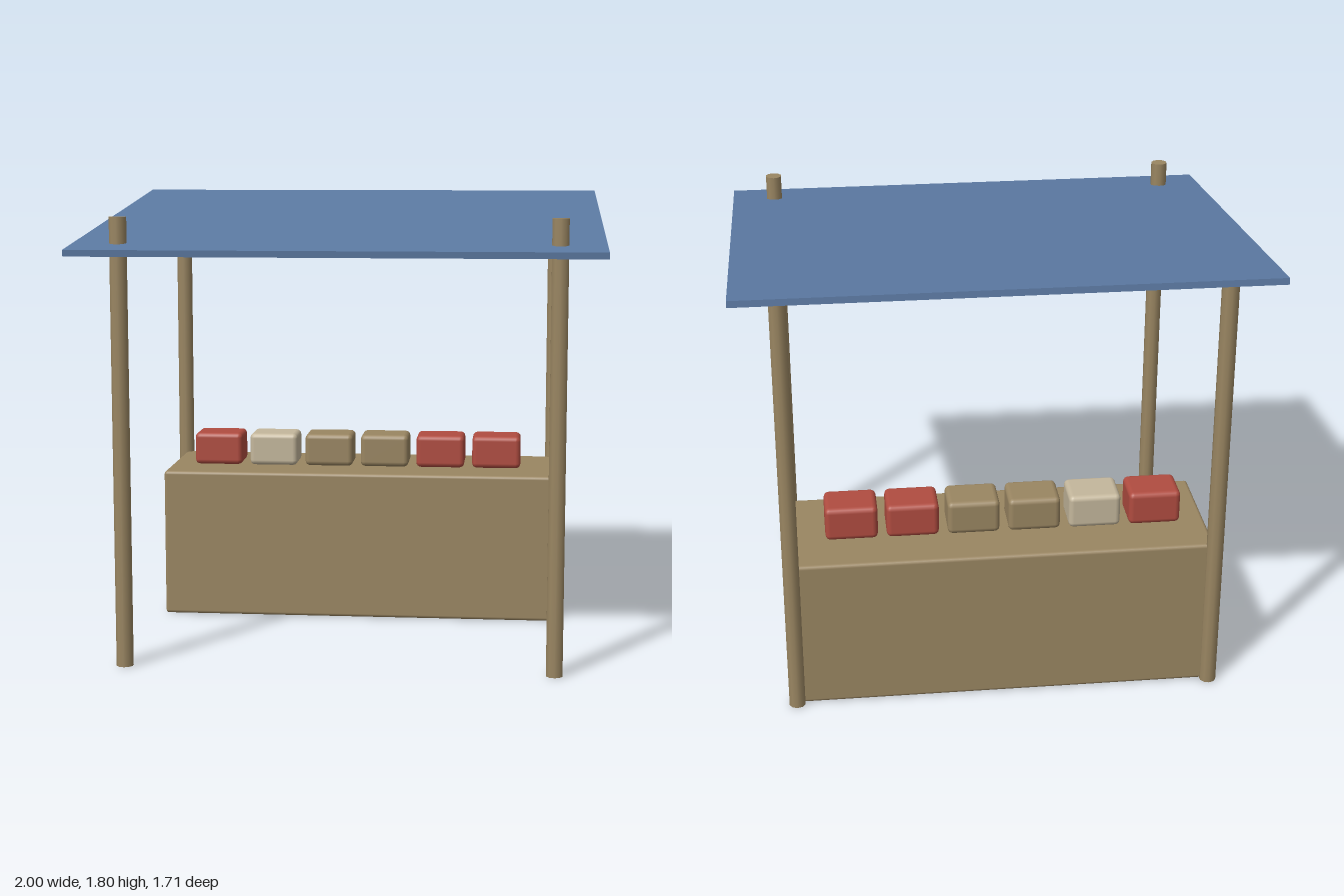
import * as THREE from 'three';
import { RoundedBoxGeometry } from 'three/addons/geometries/RoundedBoxGeometry.js';

const material = (name, color) => {
  const m = new THREE.MeshStandardMaterial({ color });
  m.name = name;
  return m;
};

export function createModel() {
  const wood = material('wood', 0x9a8662);
  const blue = material('blue canvas', 0x5c7aa3);
  const red = material('red goods', 0xb04c40);
  const cream = material('cream goods', 0xc4b79c);

  const group = new THREE.Group();
  group.name = 'marketStall';
  const add = (name, geometry, mat, x, y, z) => {
    const mesh = new THREE.Mesh(geometry, mat);
    mesh.name = name;
    mesh.position.set(x, y, z);
    group.add(mesh);
    return mesh;
  };

  // Four corner posts; the front pair pokes through the canopy
  const postHeight = 1.73;
  const postGeometry = new THREE.CylinderGeometry(0.033, 0.033, postHeight, 10);
  for (const [end, z] of [['front', 0.69], ['back', -0.69]]) {
    for (const [side, x] of [['Left', 0.827], ['Right', -0.827]]) {
      add(`${end}${side}Post`, postGeometry, wood, x, postHeight / 2, z);
    }
  }

  // Sloping canopy, lower at the front
  const canopy = add('canopy', new THREE.BoxGeometry(2, 0.025, 1.716), blue, 0, 1.693, 0);
  canopy.rotation.x = 0.107;

  // Counter between the back posts
  const counterHeight = 0.62, counterZ = -0.414;
  add('counter', new RoundedBoxGeometry(1.654, counterHeight, 0.55, 2, 0.014),
    wood, 0, counterHeight / 2, counterZ);

  // Row of goods along the counter
  const goodsGeometry = new RoundedBoxGeometry(0.207, 0.138, 0.172, 2, 0.021);
  [red, cream, wood, wood, red, red].forEach((mat, i) => {
    add(`goods${i + 1}`, goodsGeometry, mat, -0.622 + i * 0.241, counterHeight + 0.069, counterZ);
  });

  return group;
}
